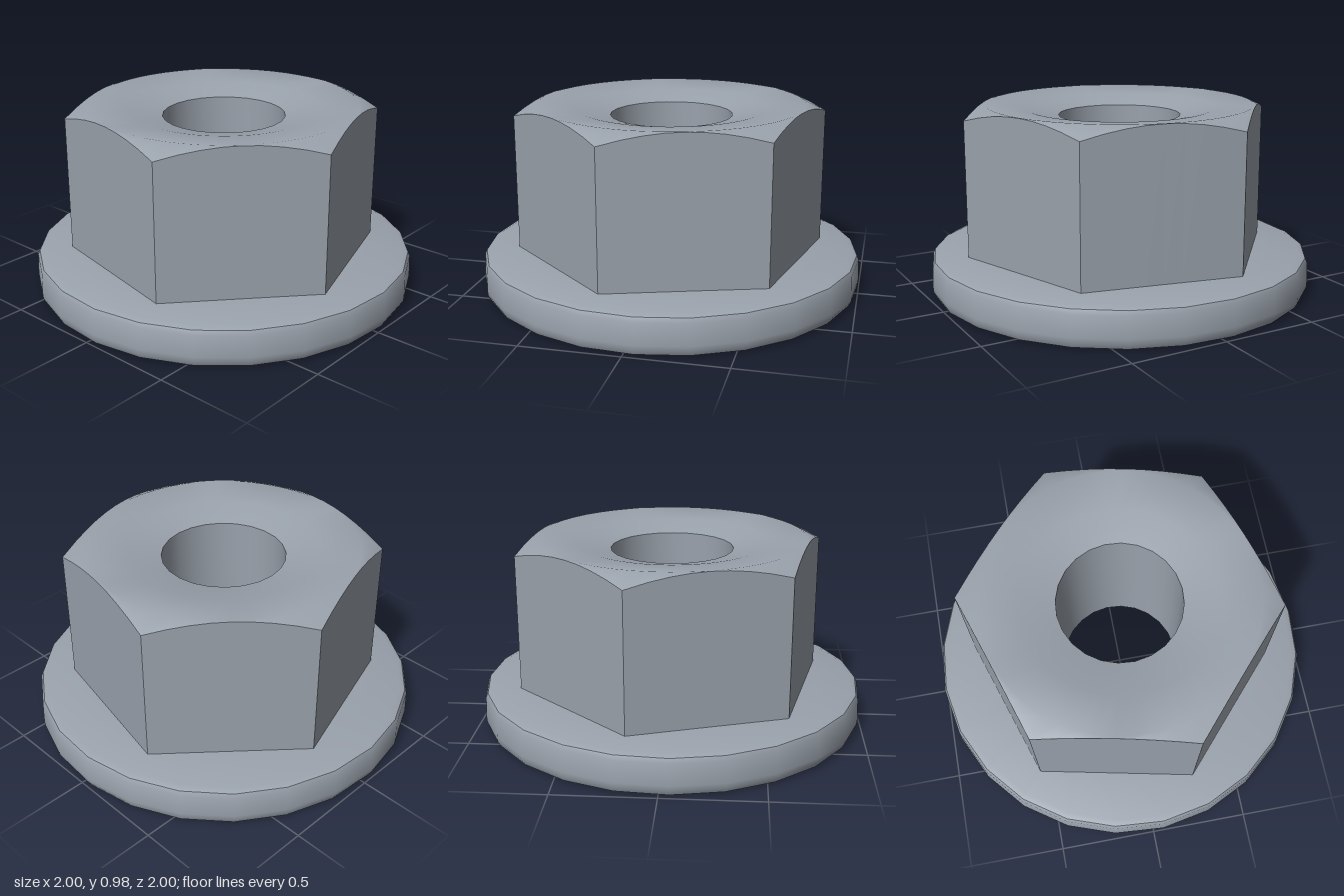
import * as THREE from 'three';
import { toCreasedNormals } from 'three/addons/utils/BufferGeometryUtils.js';

const SIDES = 24;                            // facets of the round surfaces
const STEPS = 48;                            // samples around the hex body
const TURN = THREE.MathUtils.degToRad(12);   // rotation of the hex corners

// Radius of a regular n-gon at an angle measured from one of its corners
function polygon(n, r) {
  const seg = 2 * Math.PI / n;
  return a => r * Math.cos(seg / 2) / Math.cos(((a + 1e-9) % seg) - seg / 2);
}

// Skin a list of closed rings; each ring gives [radius, height] at an angle
function loft(rings) {
  const pos = [], index = [];
  for (const ring of rings) {
    for (let i = 0; i < STEPS; i++) {
      const a = i / STEPS * 2 * Math.PI;
      const [r, y] = ring(a);
      pos.push(r * Math.cos(a + TURN), y, r * Math.sin(a + TURN));
    }
  }
  for (let k = 0; k < rings.length - 1; k++) {
    for (let i = 0; i < STEPS; i++) {
      const j = (i + 1) % STEPS;
      const a = k * STEPS + i, b = k * STEPS + j;
      const c = a + STEPS, d = b + STEPS;
      index.push(a, c, b, b, c, d);
    }
  }
  const g = new THREE.BufferGeometry();
  g.setAttribute('position', new THREE.Float32BufferAttribute(pos, 3));
  g.setIndex(index);
  return toCreasedNormals(g, 0.75);
}

function lathe(points) {
  const profile = points.map(([x, y]) => new THREE.Vector2(x, y));
  return toCreasedNormals(
    new THREE.LatheGeometry(profile, SIDES, Math.PI / 2 - TURN), 0.6);
}

export function createModel() {
  const steel = new THREE.MeshStandardMaterial({ color: 0x9aa2ac });
  steel.name = 'steel grey';
  const group = new THREE.Group();
  group.name = 'flangedHexNut';
  const add = (name, geometry) => {
    const mesh = new THREE.Mesh(geometry, steel);
    mesh.name = name;
    group.add(mesh);
  };

  const boreR = 0.317, rimY = 0.912, topY = 0.975, flangeY = 0.207;
  const hex = polygon(6, 0.813), bore = polygon(SIDES, boreR);
  const flat = 0.813 * Math.cos(Math.PI / 6);

  // Hex body: the conical chamfer cuts scalloped arcs into the six sides
  add('hexBody', loft([
    a => [hex(a), flangeY - 0.01],
    a => [hex(a), topY - (hex(a) - flat) * 0.55],
    () => [flat - 0.01, topY],
    () => [0.49, 0.952],
    a => [bore(a), rimY],
  ]));

  // Round flange with softened edges
  add('flange', lathe([
    [0.4, 0], [0.96, 0], [0.985, 0.01], [0.998, 0.035], [1, 0.06],
    [0.996, 0.17], [0.985, 0.193], [0.955, 0.205], [0.6, flangeY],
  ]));

  // Through hole with a countersink underneath
  add('bore', lathe([[boreR, rimY], [boreR, 0.045]]));
  add('countersink', lathe([[boreR, 0.045], [0.4, 0]]));

  return group;
}
